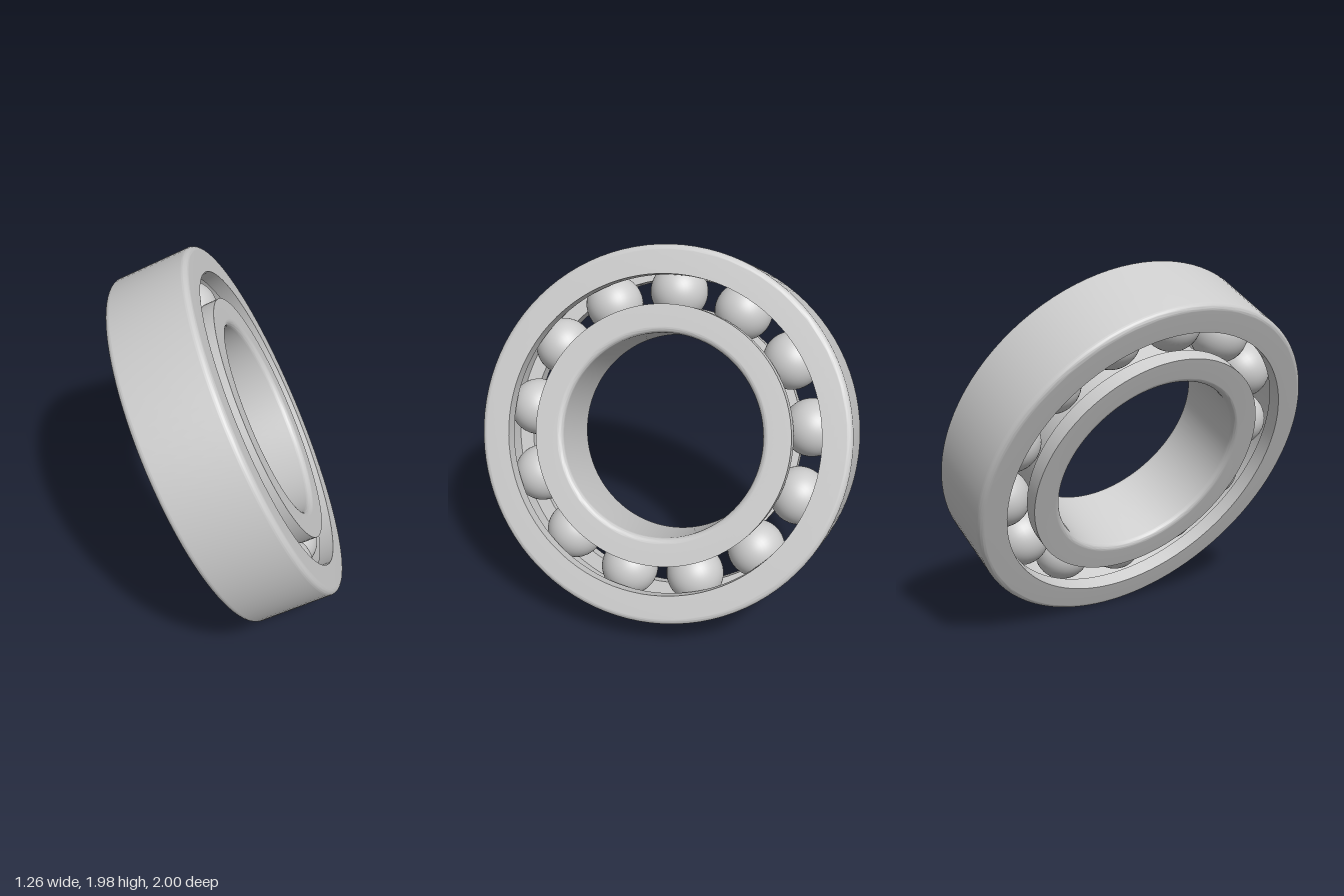
import * as THREE from 'three';
import { toCreasedNormals } from 'three/addons/utils/BufferGeometryUtils.js';

const TILT = 0.445;     // lean of the bearing axis above horizontal
const H = 0.23;         // half width of the rings
const FILLET = 0.031;   // rounded ring corners
const PITCH = 0.7675;   // radius of the circle of ball centres
const BALL = 0.155;
const GROOVE = 0.148;   // half width of the raceway channels
const BALLS = 13;
const OUTER = { bore: 0.845, rim: 1 };
const INNER = { bore: 0.54, rim: 0.69 };

const material = new THREE.MeshStandardMaterial({ color: 0xcccccc });

// Spin a counterclockwise (radius, height) outline around the axis
function ring(name, outline) {
  const lathe = new THREE.LatheGeometry(outline.getPoints(8), 96);
  const mesh = new THREE.Mesh(toCreasedNormals(lathe, Math.PI / 6), material);
  mesh.name = name;
  return mesh;
}

// Outer ring: rounded outside, raceway channel in its inner wall
function outerRing() {
  const { bore, rim } = OUTER;
  const s = new THREE.Shape();
  s.moveTo(bore, -H);
  s.lineTo(rim - FILLET, -H);
  s.absarc(rim - FILLET, -H + FILLET, FILLET, -Math.PI / 2, 0, false);
  s.absarc(rim - FILLET, H - FILLET, FILLET, 0, Math.PI / 2, false);
  s.lineTo(bore, H);
  s.lineTo(bore, GROOVE);
  s.lineTo(PITCH + BALL, GROOVE);
  s.lineTo(PITCH + BALL, -GROOVE);
  s.lineTo(bore, -GROOVE);
  s.lineTo(bore, -H);
  return ring('outerRing', s);
}

// Inner ring: rounded bore, raceway channel in its outer wall
function innerRing() {
  const { bore, rim } = INNER;
  const s = new THREE.Shape();
  s.moveTo(bore + FILLET, -H);
  s.lineTo(rim, -H);
  s.lineTo(rim, -GROOVE);
  s.lineTo(PITCH - BALL, -GROOVE);
  s.lineTo(PITCH - BALL, GROOVE);
  s.lineTo(rim, GROOVE);
  s.lineTo(rim, H);
  s.lineTo(bore + FILLET, H);
  s.absarc(bore + FILLET, H - FILLET, FILLET, Math.PI / 2, Math.PI, false);
  s.absarc(bore + FILLET, -H + FILLET, FILLET, Math.PI, Math.PI * 1.5, false);
  return ring('innerRing', s);
}

export function createModel() {
  const bearing = new THREE.Group();
  bearing.name = 'ballBearing';
  bearing.add(outerRing(), innerRing());

  // Balls evenly spaced in the raceway
  const balls = new THREE.Group();
  balls.name = 'balls';
  const sphere = new THREE.SphereGeometry(BALL, 32, 24);
  for (let i = 0; i < BALLS; i++) {
    const a = 0.065 + (i / BALLS) * Math.PI * 2;
    const ball = new THREE.Mesh(sphere, material);
    ball.name = 'ball';
    ball.position.set(-Math.sin(a) * PITCH, 0, Math.cos(a) * PITCH);
    balls.add(ball);
  }
  bearing.add(balls);

  // Lean the axis towards +x and stand the rim on the ground
  bearing.rotation.z = TILT - Math.PI / 2;
  bearing.position.y = (1 - FILLET) * Math.cos(TILT) + (H - FILLET) * Math.sin(TILT) + FILLET;

  const model = new THREE.Group();
  model.add(bearing);
  return model;
}
